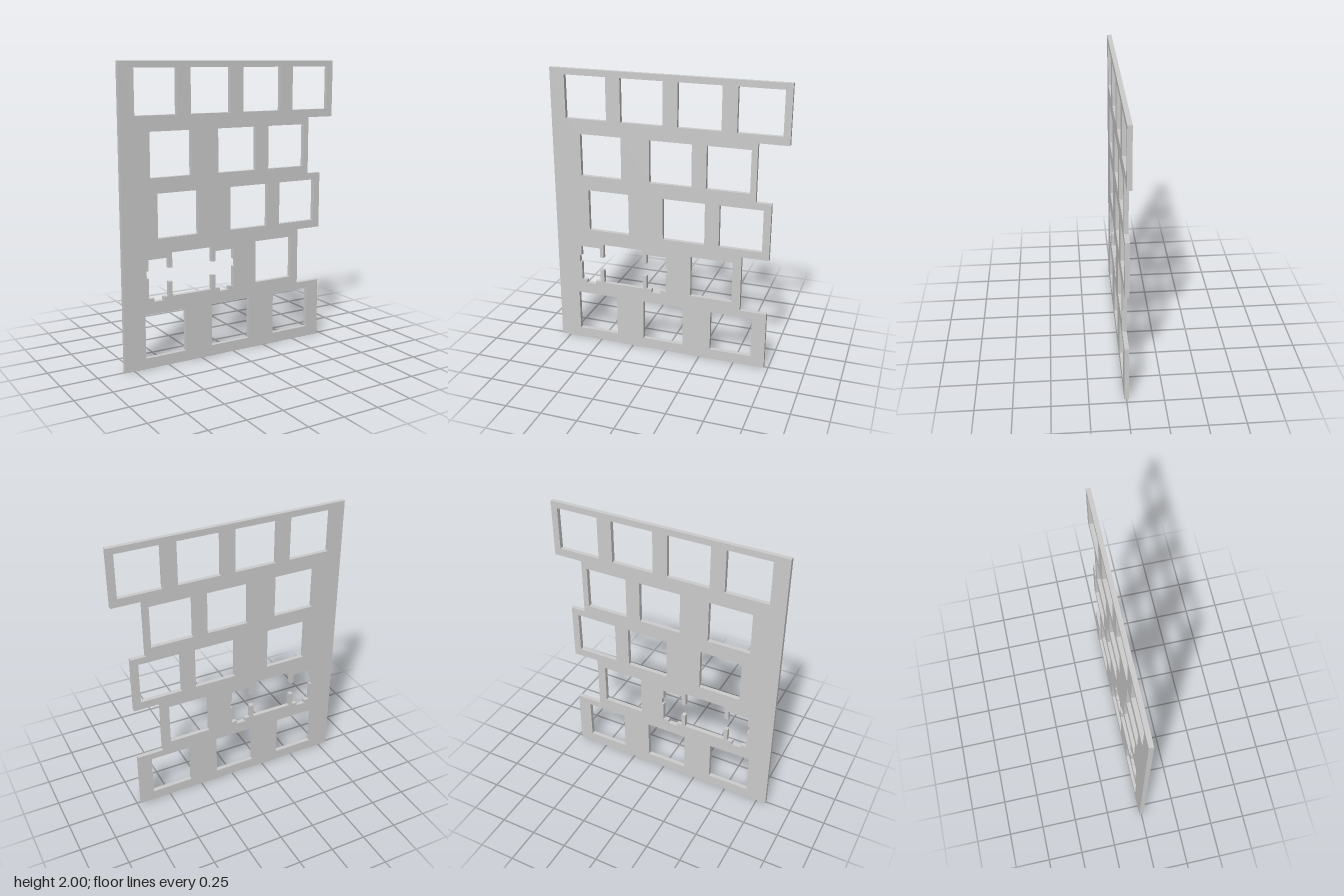
import * as THREE from 'three';

const THICKNESS = 0.03;
const HOLE = 0.295;     // side of a square cutout
const PITCH = 0.3975;   // row spacing
const FIRST_ROW = 0.073; // lower edge of the bottom cutouts

const toPoints = (list) => list.map(([x, y]) => new THREE.Vector2(x, y));

export function createModel() {
  const group = new THREE.Group();

  // Plate outline, stepped along its right-hand edge
  const plate = new THREE.Shape(toPoints([
    [-0.817, 0], [0.72, 0], [0.72, 0.416], [0.535, 0.416], [0.535, 0.813],
    [0.72, 0.813], [0.72, 1.21], [0.615, 1.21], [0.615, 1.608],
    [0.817, 1.608], [0.817, 2], [-0.817, 2],
  ]));

  // Square cutouts: left edges for each row, bottom to top
  const rows = [
    [-0.666, -0.169, 0.328],
    [0.18],
    [-0.565, -0.021, 0.375],
    [-0.613, -0.116, 0.28],
    [-0.713, -0.317, 0.079, 0.476],
  ];
  rows.forEach((lefts, i) => {
    const y = FIRST_ROW + i * PITCH;
    for (const x of lefts) {
      plate.holes.push(new THREE.Path(toPoints([
        [x, y], [x, y + HOLE], [x + HOLE, y + HOLE], [x + HOLE, y],
      ])));
    }
  });

  // Wide cutout: centre square joined by necks to a notched pocket on each side.
  // One half, from bottom centre round to top centre, as offsets from its axis.
  const axis = -0.318;
  const half = [
    [0.148, 0.471], [0.148, 0.57], [0.176, 0.57], [0.176, 0.474],
    [0.213, 0.474], [0.213, 0.45], [0.281, 0.45], [0.281, 0.474],
    [0.319, 0.474], [0.319, 0.61], [0.333, 0.61], [0.333, 0.662],
    [0.319, 0.662], [0.319, 0.735], [0.176, 0.735], [0.176, 0.665],
    [0.148, 0.665], [0.148, 0.766],
  ];
  const rightSide = half.map(([x, y]) => [axis + x, y]);
  const leftSide = half.map(([x, y]) => [axis - x, y]).reverse();
  plate.holes.push(new THREE.Path(toPoints([...rightSide, ...leftSide])));

  // Flat sheet with all cutouts
  const geometry = new THREE.ExtrudeGeometry(plate, { depth: THICKNESS, bevelEnabled: false });
  geometry.translate(0, 0, -THICKNESS / 2);
  const mesh = new THREE.Mesh(
    geometry,
    new THREE.MeshStandardMaterial({ color: 0xcccccc, flatShading: true }),
  );
  mesh.name = 'switchPlate';
  group.add(mesh);
  return group;
}
